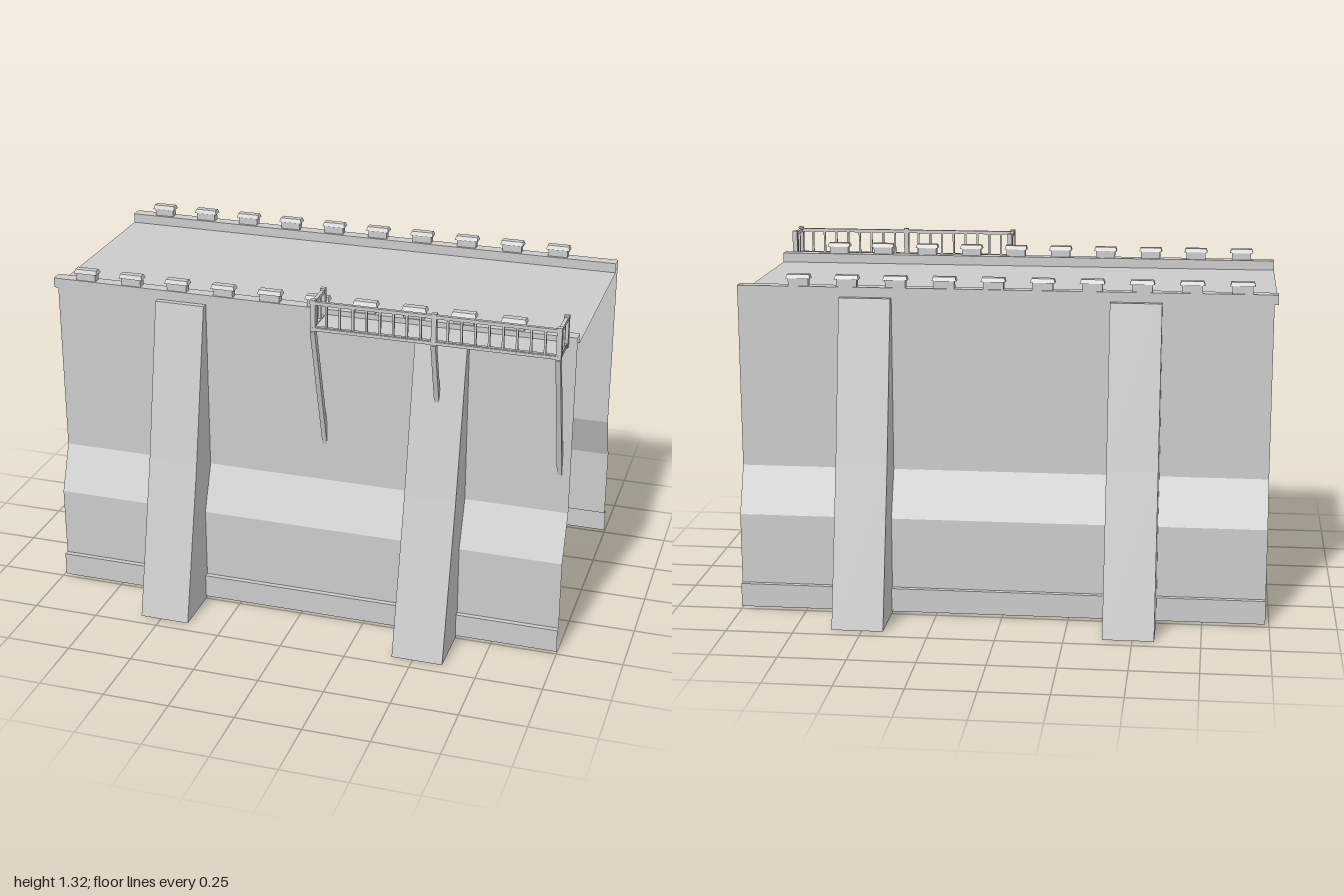
import * as THREE from 'three';

const mat = new THREE.MeshStandardMaterial({ color: 0xcccccc, flatShading: true, side: THREE.DoubleSide });

function add(parent, name, geometry, x = 0, y = 0, z = 0) {
  const mesh = new THREE.Mesh(geometry, mat);
  mesh.name = name;
  mesh.position.set(x, y, z);
  parent.add(mesh);
  return mesh;
}

// Open sheet: a [z, y] profile swept along x
function sheet(profile, x0, x1) {
  const pos = [], index = [];
  profile.forEach(([z, y], i) => {
    pos.push(x0, y, z, x1, y, z);
    if (i) {
      const a = 2 * i - 2;
      index.push(a, a + 1, a + 3, a, a + 3, a + 2);
    }
  });
  const g = new THREE.BufferGeometry();
  g.setAttribute('position', new THREE.Float32BufferAttribute(pos, 3));
  g.setIndex(index);
  const flat = g.toNonIndexed();
  flat.computeVertexNormals();
  return flat;
}

// Box whose top is narrowed by a factor in x and z
function taperedBox(w, h, d, fx, fz) {
  const g = new THREE.BoxGeometry(w, h, d);
  const p = g.attributes.position;
  for (let i = 0; i < p.count; i++) {
    if (p.getY(i) > 0) p.setXYZ(i, p.getX(i) * fx, p.getY(i), p.getZ(i) * fz);
  }
  g.computeVertexNormals();
  return g;
}

// Square bar between two points
function bar(parent, name, a, b, w, d = w) {
  const A = new THREE.Vector3(...a), B = new THREE.Vector3(...b);
  const mesh = add(parent, name, new THREE.BoxGeometry(w, A.distanceTo(B), d));
  mesh.position.copy(A).add(B).multiplyScalar(0.5);
  mesh.quaternion.setFromUnitVectors(new THREE.Vector3(0, 1, 0), B.sub(A).normalize());
  return mesh;
}

function createButtress(x0, x1) {
  const g = new THREE.Group();
  g.name = 'buttress';
  const profile = [[0.405, 0], [0.405, 1.2], [0.435, 1.2], [0.555, 0.6], [0.7, 0]];
  add(g, 'buttressFaces', sheet(profile, x0, x1));
  // Shape x is -z so the panel turns onto the side plane
  const side = new THREE.ShapeGeometry(new THREE.Shape(profile.map(([z, y]) => new THREE.Vector2(-z, y))));
  side.rotateY(Math.PI / 2);
  add(g, 'buttressSide', side, x0);
  add(g, 'buttressSide', side, x1);
  return g;
}

// One long side: wall, parapet, merlons and buttresses
function createSide() {
  const g = new THREE.Group();
  g.name = 'side';
  add(g, 'wall', sheet([[0.5, 0.01], [0.5, 0.1], [0.48, 0.1], [0.48, 0.37], [0.41, 0.545], [0.41, 1.2]], -0.985, 1));
  add(g, 'parapet', sheet([[0.413, 1.2], [0.413, 1.237], [0.367, 1.237], [0.367, 1.2]], -1, 1));
  for (let i = 0; i < 10; i++) {
    const x = -0.87 + i * 0.1822;
    add(g, 'merlonStem', new THREE.BoxGeometry(0.076, 0.03, 0.03), x, 1.25, 0.393);
    add(g, 'merlonCap', taperedBox(0.092, 0.015, 0.04, 0.9, 0.65), x, 1.2725, 0.393);
  }
  g.add(createButtress(-0.58, -0.39), createButtress(0.42, 0.613));
  return g;
}

function createBalcony() {
  const g = new THREE.Group();
  g.name = 'balcony';
  const x0 = 0.07, x1 = 0.96, zIn = 0.42, zOut = 0.54, mid = (x0 + x1) / 2;
  add(g, 'balconyFloor', new THREE.BoxGeometry(0.905, 0.012, 0.14), mid, 1.211, 0.48);

  // Rails along the front and both ends
  for (const y of [1.213, 1.309]) {
    bar(g, 'rail', [x0, y, zOut], [x1, y, zOut], 0.013);
    for (const x of [x0, x1]) bar(g, 'rail', [x, y, zIn], [x, y, zOut], 0.013);
  }

  // Posts and balusters
  const posts = [[x0, zIn], [x1, zIn], [x0, zOut], [mid, zOut], [x1, zOut]];
  for (const [x, z] of posts) bar(g, 'post', [x, 1.2, z], [x, 1.322, z], 0.019);
  const n = 18;
  for (let i = 1; i < n; i++) {
    if (i === n / 2) continue;
    const x = x0 + (x1 - x0) * i / n;
    bar(g, 'baluster', [x, 1.215, zOut], [x, 1.307, zOut], 0.008);
  }
  for (const x of [x0, x1]) {
    for (const z of [0.46, 0.5]) bar(g, 'baluster', [x, 1.215, z], [x, 1.307, z], 0.008);
  }

  // Diagonal struts running back into the wall
  for (const x of [x0, mid, x1]) bar(g, 'strut', [x, 1.205, 0.542], [x, 0.645, 0.384], 0.018, 0.023);
  return g;
}

export function createModel() {
  const model = new THREE.Group();
  model.name = 'rampart';
  const front = createSide();
  const back = createSide();
  back.scale.z = -1;
  model.add(front, back, createBalcony());
  // Walkway between the parapets
  add(model, 'walkway', sheet([[0.367, 1.2], [-0.367, 1.2]], -1, 1));
  return model;
}
